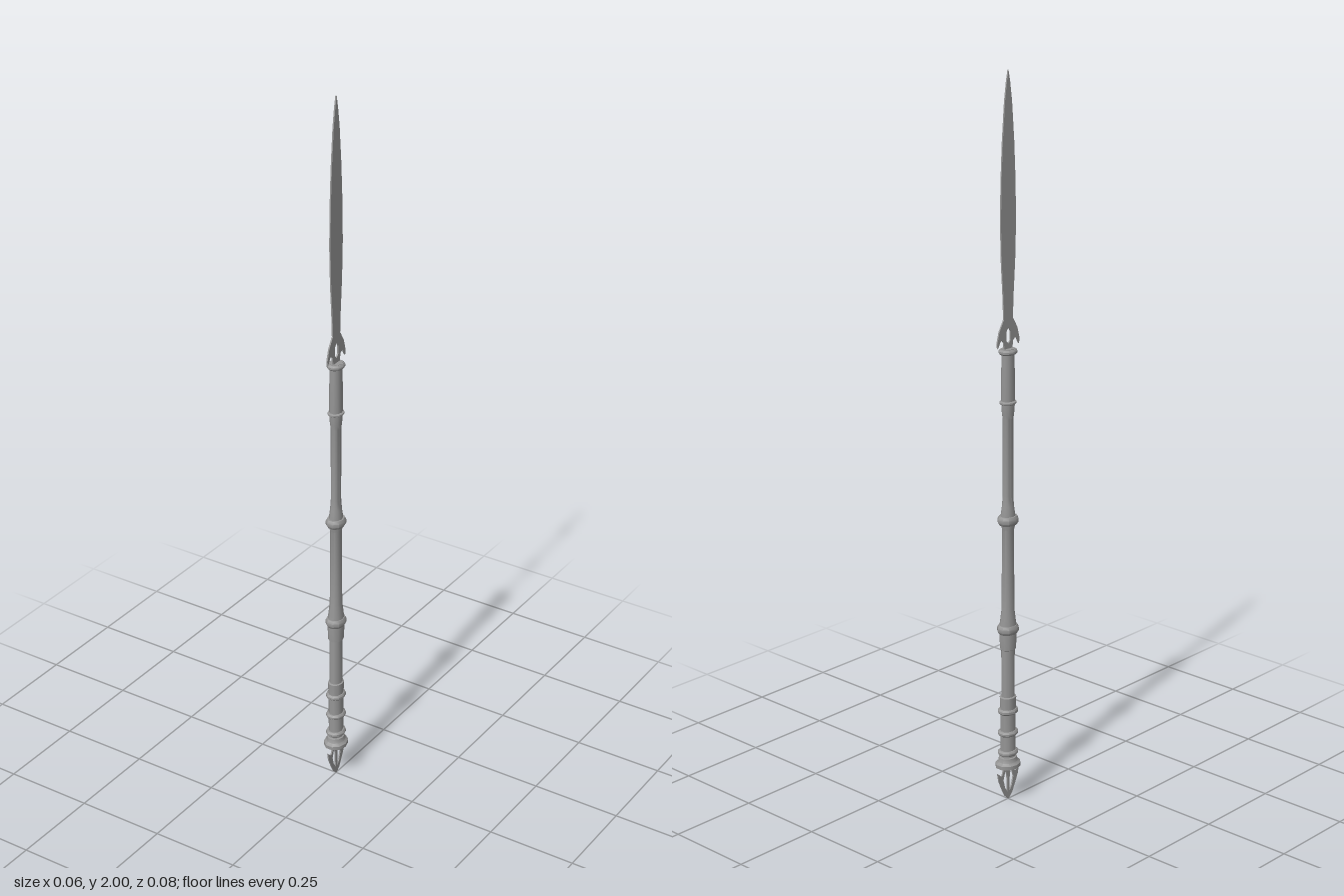
import * as THREE from 'three';
import { toCreasedNormals } from 'three/addons/utils/BufferGeometryUtils.js';

const metal = new THREE.MeshStandardMaterial({ color: 0x969696 });
const THICK = 0.004;

// Ten-sided turned part, slightly deeper than wide; profile is [radius, y]
function turned(name, profile) {
  const geo = new THREE.LatheGeometry(profile.map(([r, y]) => new THREE.Vector2(r, y)), 10, Math.PI / 2);
  geo.scale(1, 1, 1.18);
  const mesh = new THREE.Mesh(toCreasedNormals(geo, 0.75), metal);
  mesh.name = name;
  return mesh;
}

// Closed outline mirrored about the centre line from one half
function mirrored(half) {
  const other = half.filter(([z]) => z > 0).map(([z, y]) => [-z, y]).reverse();
  return half.concat(other).map(([z, y]) => new THREE.Vector2(z, y));
}

// Thin plate standing in the zy plane, with optional holes
function plate(name, half, holes = []) {
  const shape = new THREE.Shape(mirrored(half));
  shape.holes = holes.map((points) => new THREE.Path(points));
  const geo = new THREE.ExtrudeGeometry(shape, { depth: THICK, bevelEnabled: false });
  geo.translate(0, 0, -THICK / 2).rotateY(Math.PI / 2);
  const mesh = new THREE.Mesh(geo, metal);
  mesh.name = name;
  return mesh;
}

export function createModel() {
  const spear = new THREE.Group();
  spear.name = 'spear';

  // Pole with its sleeves, flared at the grips
  spear.add(turned('shaft', [
    [0, 0.1], [0.019, 0.1], [0.019, 0.25], [0.021, 0.305], [0.017, 0.307],
    [0.017, 0.443], [0.02, 0.445], [0.022, 0.49], [0.021, 0.515], [0.016, 0.56],
    [0.015, 0.785], [0.018, 0.797], [0.018, 0.826], [0.015, 0.85], [0.013, 0.88],
    [0.013, 1.09], [0.015, 1.105], [0.017, 1.135], [0.016, 1.28], [0, 1.28],
  ]));

  // Raised rings: [centre y, radius, half height]
  const rings = [
    [0.142, 0.026, 0.007], [0.2, 0.026, 0.007], [0.264, 0.026, 0.007],
    [0.502, 0.027, 0.012], [0.811, 0.026, 0.012], [1.135, 0.021, 0.005], [1.272, 0.023, 0.007],
  ];
  for (const [y, r, h] of rings) {
    spear.add(turned('ring', [
      [0.012, y - h], [r - 0.004, y - h], [r, y - h * 0.4],
      [r, y + h * 0.4], [r - 0.004, y + h], [0.012, y + h],
    ]));
  }

  // Stepped foot of the pole
  spear.add(turned('foot', [
    [0, 0.1], [0.032, 0.1], [0.032, 0.11], [0.025, 0.116], [0.023, 0.128], [0.018, 0.13],
  ]));

  // Long leaf blade
  spear.add(plate('blade', [
    [0, 1.34], [0.016, 1.345], [0.019, 1.42], [0.025, 1.51], [0.028, 1.61],
    [0.026, 1.72], [0.021, 1.82], [0.013, 1.92], [0.006, 1.97], [0, 2],
  ]));

  // Barbed collar that joins the blade to the pole, with a slot at its centre
  spear.add(plate('bladeCollar', [
    [0, 1.27], [0.014, 1.275], [0.018, 1.3], [0.028, 1.307], [0.04, 1.286],
    [0.042, 1.3], [0.034, 1.33], [0.018, 1.358], [0, 1.37],
  ], [mirrored([[0, 1.293], [0.008, 1.302], [0.008, 1.325], [0, 1.338]])]));

  // Barbed spike at the butt end, with a slot either side of its stem
  const slot = [[0.004, 0.022], [0.014, 0.038], [0.02, 0.062], [0.011, 0.092], [0.005, 0.07]];
  spear.add(plate('buttSpike', [
    [0, 0], [0.014, 0.014], [0.027, 0.04], [0.038, 0.066], [0.042, 0.088],
    [0.029, 0.076], [0.024, 0.078], [0.015, 0.105], [0, 0.105],
  ], [1, -1].map((s) => slot.map(([z, y]) => new THREE.Vector2(s * z, y)))));

  return spear;
}
